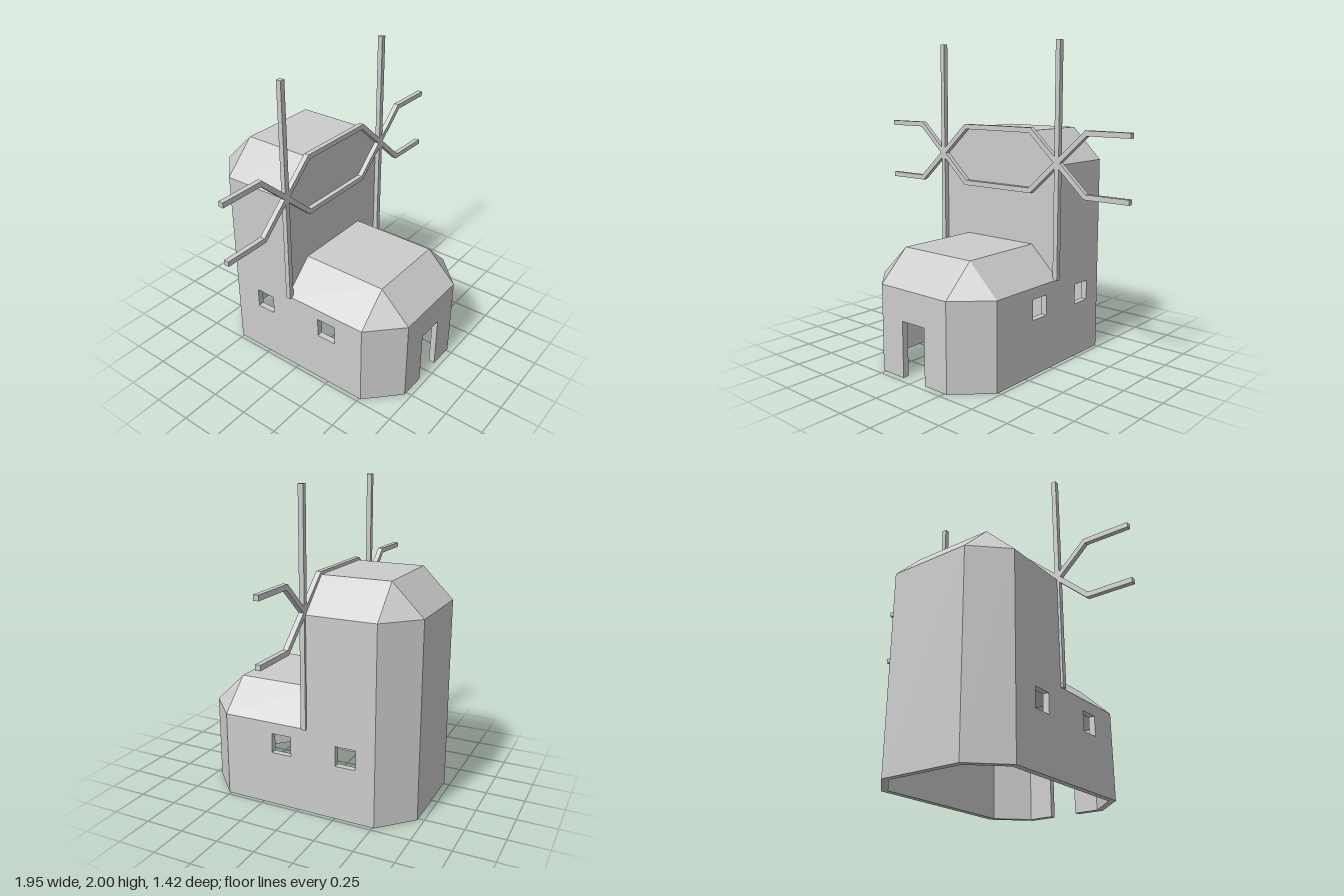
import * as THREE from 'three';

const W = 0.475, IN = 0.27;          // half width at the walls and at the flat roof
const L = 0.71, ZIN = 0.51;          // half length at the end walls and at the flat roof
const STEP = -0.065;                 // front plane of the tall part
const T = 0.04, K = T * 0.414;       // wall thickness and mitre inset
const LOW = { s: 1, eave: 0.55, top: 0.745, name: 'low' };
const TALL = { s: -1, eave: 1.26, top: 1.46, name: 'tall' };

const material = new THREE.MeshStandardMaterial({ color: 0xcccccc, flatShading: true });

function add(group, name, geometry) {
  const mesh = new THREE.Mesh(geometry, material);
  mesh.name = name;
  group.add(mesh);
  return mesh;
}

function polygon(points) {
  return new THREE.Shape(points.map(([x, y]) => new THREE.Vector2(x, y)));
}

function extrude(shape, depth) {
  return new THREE.ExtrudeGeometry(shape, { depth, bevelEnabled: false });
}

// Convex slab between an outer polygon and its matching inner polygon
function slab(outer, inner) {
  const o = outer.map(p => new THREE.Vector3(...p));
  const i = inner.map(p => new THREE.Vector3(...p));
  const normal = o[1].clone().sub(o[0]).cross(o[2].clone().sub(o[0]));
  if (normal.dot(o[0].clone().sub(i[0])) < 0) { o.reverse(); i.reverse(); }
  const tris = [];
  const n = o.length;
  for (let a = 1; a < n - 1; a++) {
    tris.push(o[0], o[a], o[a + 1], i[0], i[a + 1], i[a]);
  }
  for (let a = 0; a < n; a++) {
    const b = (a + 1) % n;
    tris.push(o[a], i[a], i[b], o[a], i[b], o[b]);
  }
  const g = new THREE.BufferGeometry().setFromPoints(tris);
  g.computeVertexNormals();
  return g;
}

// Faceted walls and roof of one end of the building
function buildEnd({ s, eave, top, name }) {
  const group = new THREE.Group();
  group.name = name + 'Hall';
  const inset = ([x, y, z]) => [
    Math.sign(x) * (Math.abs(x) - (Math.abs(x) === W ? T : K)),
    y === 0 ? 0 : y - (y === top ? T : K),
    z === STEP ? z : Math.sign(z) * (Math.abs(z) - (Math.abs(z) === L ? T : K)),
  ];
  const face = (label, pts) => add(group, label, slab(pts, pts.map(inset)));
  const zi = s * ZIN, ze = s * L;

  for (const m of [1, -1]) {
    const w = m * W, x = m * IN;
    face('cornerWall', [[w, 0, zi], [x, 0, ze], [x, eave, ze], [w, eave, zi]]);
    face('cornerRoof', [[w, eave, zi], [x, eave, ze], [x, top, zi]]);
    face('sideRoof', [[w, eave, STEP], [w, eave, zi], [x, top, zi], [x, top, STEP]]);
  }
  face('endRoof', [[-IN, eave, ze], [IN, eave, ze], [IN, top, zi], [-IN, top, zi]]);
  face('flatRoof', [[-IN, top, STEP], [IN, top, STEP], [IN, top, zi], [-IN, top, zi]]);
  if (s < 0) face('backWall', [[-IN, 0, ze], [IN, 0, ze], [IN, eave, ze], [-IN, eave, ze]]);
  return group;
}

// Stepped side wall with square windows, drawn with u = -z
function sideWall(windows) {
  const shape = polygon([[-ZIN, 0], [ZIN, 0], [ZIN, TALL.eave], [-STEP, TALL.eave],
    [-STEP, LOW.eave], [-ZIN, LOW.eave]]);
  for (const z of windows) {
    const u = -z, h = 0.066;
    shape.holes.push(polygon([[u - h, 0.35], [u - h, 0.478], [u + h, 0.478], [u + h, 0.35]]));
  }
  return extrude(shape, T).rotateY(Math.PI / 2);
}

// Mitred bar of constant width along a polyline
function bar(points, width, depth) {
  const p = points.map(([x, y]) => new THREE.Vector2(x, y));
  const perp = (a, b) => {
    const d = b.clone().sub(a).normalize();
    return new THREE.Vector2(-d.y, d.x);
  };
  const left = [], right = [];
  p.forEach((q, i) => {
    const n0 = perp(p[Math.max(i - 1, 0)], p[Math.max(i, 1)]);
    const n1 = i < p.length - 1 ? perp(q, p[i + 1]) : n0;
    const m = n0.clone().add(n1).normalize();
    m.multiplyScalar(width / 2 / m.dot(n0));
    left.push(q.clone().add(m));
    right.push(q.clone().sub(m));
  });
  return extrude(new THREE.Shape([...right, ...left.reverse()]), depth);
}

export function createModel() {
  const model = new THREE.Group();
  model.name = 'building';
  model.add(buildEnd(LOW), buildEnd(TALL));

  // Side walls with staggered windows
  add(model, 'leftSideWall', sideWall([0.114, -0.32])).position.x = W - T;
  add(model, 'rightSideWall', sideWall([0.24, -0.262])).position.x = -W;

  // Front wall with doorway
  const door = 0.092;
  add(model, 'frontWall', extrude(polygon([
    [-IN, 0], [-door, 0], [-door, 0.355], [door, 0.355], [door, 0],
    [IN, 0], [IN, LOW.eave], [-IN, LOW.eave],
  ]), T)).position.z = L - T;

  // Upper front wall of the tall hall, open to the low hall underneath
  const e = 0.001;
  add(model, 'upperFrontWall', extrude(polygon([
    [-W + e, LOW.eave - K], [-W + T, LOW.eave - K], [-IN + K, LOW.top - T],
    [IN - K, LOW.top - T], [W - T, LOW.eave - K], [W - e, LOW.eave - K],
    [W - e, TALL.eave - e], [IN, TALL.top - e], [-IN, TALL.top - e], [-W + e, TALL.eave - e],
  ]), T)).position.z = STEP - T;

  // Tall posts at the step
  const B = 0.032;
  for (const m of [1, -1]) {
    const post = add(model, 'post', new THREE.BoxGeometry(B, 2 - LOW.eave, B));
    post.position.set(m * W, (2 + LOW.eave) / 2, STEP + B / 2);
  }

  // Two crossing bars forming the hexagon and the side arms
  const hi = 1.463, lo = 1.09;
  for (const [a, b] of [[hi, lo], [lo, hi]]) {
    const path = [[-0.976, a], [-0.68, a], [-IN, b], [IN, b], [0.68, a], [0.976, a]];
    add(model, 'crossBar', bar(path, B, B)).position.z = STEP;
  }
  return model;
}
